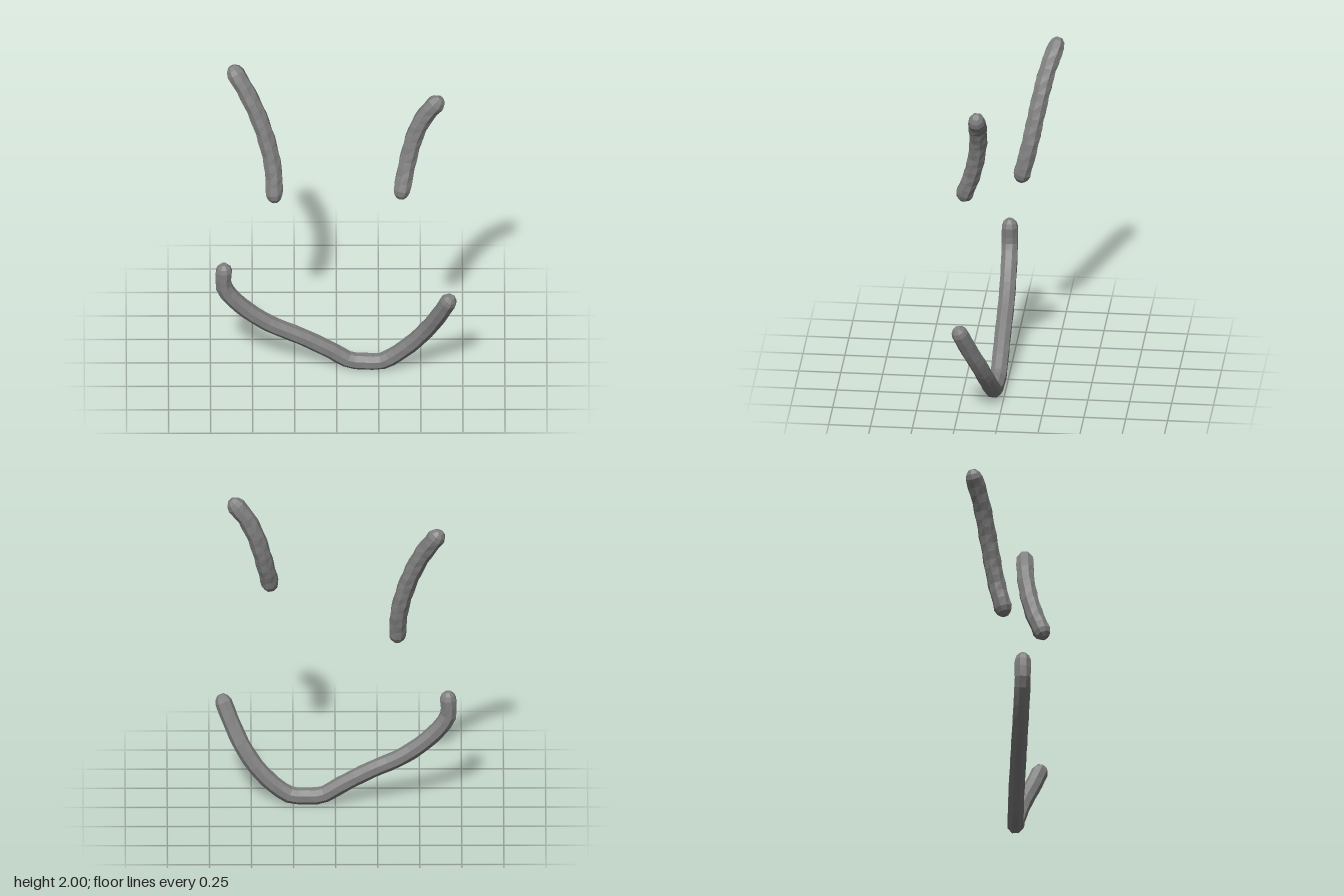
import * as THREE from 'three';

const grey = new THREE.MeshStandardMaterial({ color: 0x808080 });
grey.name = 'grey';

const SIDES = 8;

// Faceted rod swept along a curve, with blunt domed ends and a faint ripple
function rod(name, points, radius, steps, ripple) {
  const curve = new THREE.CatmullRomCurve3(points.map(p => new THREE.Vector3(...p)), false, 'centripetal');
  const frames = curve.computeFrenetFrames(steps, false);
  const pos = [], index = [];
  let rings = 0;

  // One ring around the path: frame i, pushed along the tangent, scaled
  const ring = (i, push, scale) => {
    const c = curve.getPointAt(i / steps).addScaledVector(frames.tangents[i], push * radius);
    for (let j = 0; j < SIDES; j++) {
      const a = ((j + 0.5) / SIDES) * Math.PI * 2;
      const r = radius * scale * (1 + ripple * Math.sin(i * 2.1 + j * 1.6));
      const v = c.clone()
        .addScaledVector(frames.normals[i], Math.cos(a) * r)
        .addScaledVector(frames.binormals[i], Math.sin(a) * r);
      pos.push(v.x, v.y, v.z);
    }
    rings++;
  };

  ring(0, -0.95, 0.4);
  ring(0, -0.55, 0.8);
  for (let i = 0; i <= steps; i++) ring(i, 0, 1);
  ring(steps, 0.55, 0.8);
  ring(steps, 0.95, 0.4);

  // Skin between rings
  for (let i = 0; i < rings - 1; i++) {
    for (let j = 0; j < SIDES; j++) {
      const k = (j + 1) % SIDES;
      const a = i * SIDES + j, b = i * SIDES + k, c = a + SIDES, d = b + SIDES;
      index.push(a, b, d, a, d, c);
    }
  }
  // Flat tips
  const last = (rings - 1) * SIDES;
  for (let j = 1; j < SIDES - 1; j++) {
    index.push(0, j + 1, j, last, last + j, last + j + 1);
  }

  const indexed = new THREE.BufferGeometry();
  indexed.setAttribute('position', new THREE.Float32BufferAttribute(pos, 3));
  indexed.setIndex(index);
  const geometry = indexed.toNonIndexed(); // faceted normals
  geometry.computeVertexNormals();
  const mesh = new THREE.Mesh(geometry, grey);
  mesh.name = name;
  return mesh;
}

export function createModel() {
  const model = new THREE.Group();
  model.name = 'smilingFace';

  // Lopsided smile, its left end curling forward
  model.add(rod('mouth', [
    [-0.67, 0.70, 0.055], [-0.67, 0.59, 0.055], [-0.59, 0.475, 0.053], [-0.42, 0.335, 0.05],
    [-0.2, 0.225, 0.05], [-0.04, 0.135, 0.05], [0.08, 0.062, 0.052], [0.18, 0.055, 0.055],
    [0.27, 0.06, 0.06], [0.43, 0.185, 0.08], [0.54, 0.33, 0.12], [0.61, 0.465, 0.175],
    [0.665, 0.595, 0.225],
  ], 0.051, 36, 0.02));

  // Right eye, leaning back
  model.add(rod('rightEye', [
    [-0.37, 1.185, -0.047], [-0.38, 1.36, -0.09], [-0.44, 1.60, -0.138],
    [-0.52, 1.79, -0.182], [-0.60, 1.925, -0.23],
  ], 0.054, 16, 0.05));

  // Left eye, shorter and further forward
  model.add(rod('leftEye', [
    [0.388, 1.39, 0.222], [0.42, 1.55, 0.168], [0.47, 1.74, 0.135],
    [0.53, 1.87, 0.13], [0.59, 1.95, 0.132],
  ], 0.054, 13, 0.05));

  return model;
}
